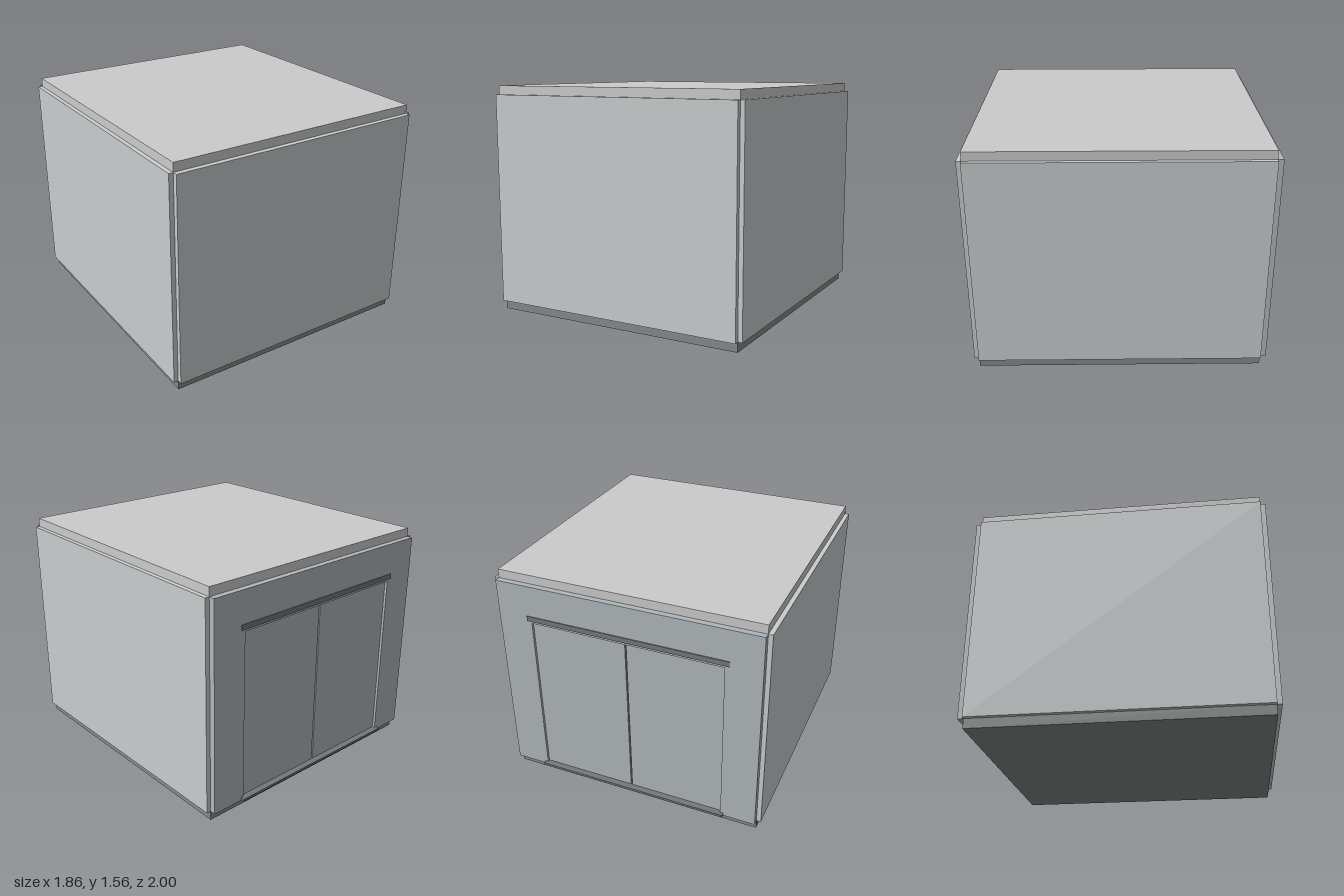
import * as THREE from 'three';

export function createModel() {
  const group = new THREE.Group();
  const mat = (color) => new THREE.MeshStandardMaterial({ color });
  const wall = mat(0xc8cdcd), roof = mat(0xcccccc), base = mat(0x858989);
  const back = mat(0xb0b6ba), metal = mat(0x74797b);

  // box given by its low and high limits on each axis
  function box(name, material, [x0, x1], [y0, y1], [z0, z1]) {
    const mesh = new THREE.Mesh(new THREE.BoxGeometry(x1 - x0, y1 - y0, z1 - z0), material);
    mesh.position.set((x0 + x1) / 2, (y0 + y1) / 2, (z0 + z1) / 2);
    mesh.name = name;
    group.add(mesh);
  }

  const W = 0.9, Y0 = 0.065, Y1 = 1.5, ZB = -0.935, ZF = 0.967;
  const doorX = 0.66, doorTop = 1.235;

  // floor and roof slabs
  box('floor', base, [-W, W], [0, Y0], [ZB, ZF]);
  box('roof', roof, [-W, W], [Y1, 1.56], [ZB, ZF]);

  // front and side wall panels
  box('frontWall', wall, [-W, W], [Y0, Y1], [ZF, 1]);
  box('leftWall', wall, [W, 0.93], [Y0, Y1], [ZB, ZF]);
  box('rightWall', wall, [-0.93, -W], [Y0, Y1], [ZB, ZF]);

  // back wall with a doorway
  const shape = new THREE.Shape([
    [-W, Y0], [-doorX, Y0], [-doorX, doorTop], [doorX, doorTop],
    [doorX, Y0], [W, Y0], [W, Y1], [-W, Y1],
  ].map(([x, y]) => new THREE.Vector2(x, y)));
  const backWall = new THREE.Mesh(
    new THREE.ExtrudeGeometry(shape, { depth: 0.04, bevelEnabled: false }), back);
  backWall.position.z = -0.975;
  backWall.name = 'backWall';
  group.add(backWall);

  // pair of sliding doors set back in the doorway
  box('leftDoor', back, [0.005, doorX], [Y0, doorTop], [-0.957, -0.937]);
  box('rightDoor', back, [-doorX, -0.005], [Y0, doorTop], [-0.957, -0.937]);
  box('doorSeal', metal, [-0.005, 0.005], [Y0, doorTop], [-0.945, -0.937]);

  // top rail and bottom track
  box('topRail', metal, [-0.69, 0.69], [1.25, 1.285], [-0.981, -0.97]);
  box('bottomTrack', metal, [-0.68, 0.68], [0.068, 0.085], [-1, -0.95]);
  return group;
}
